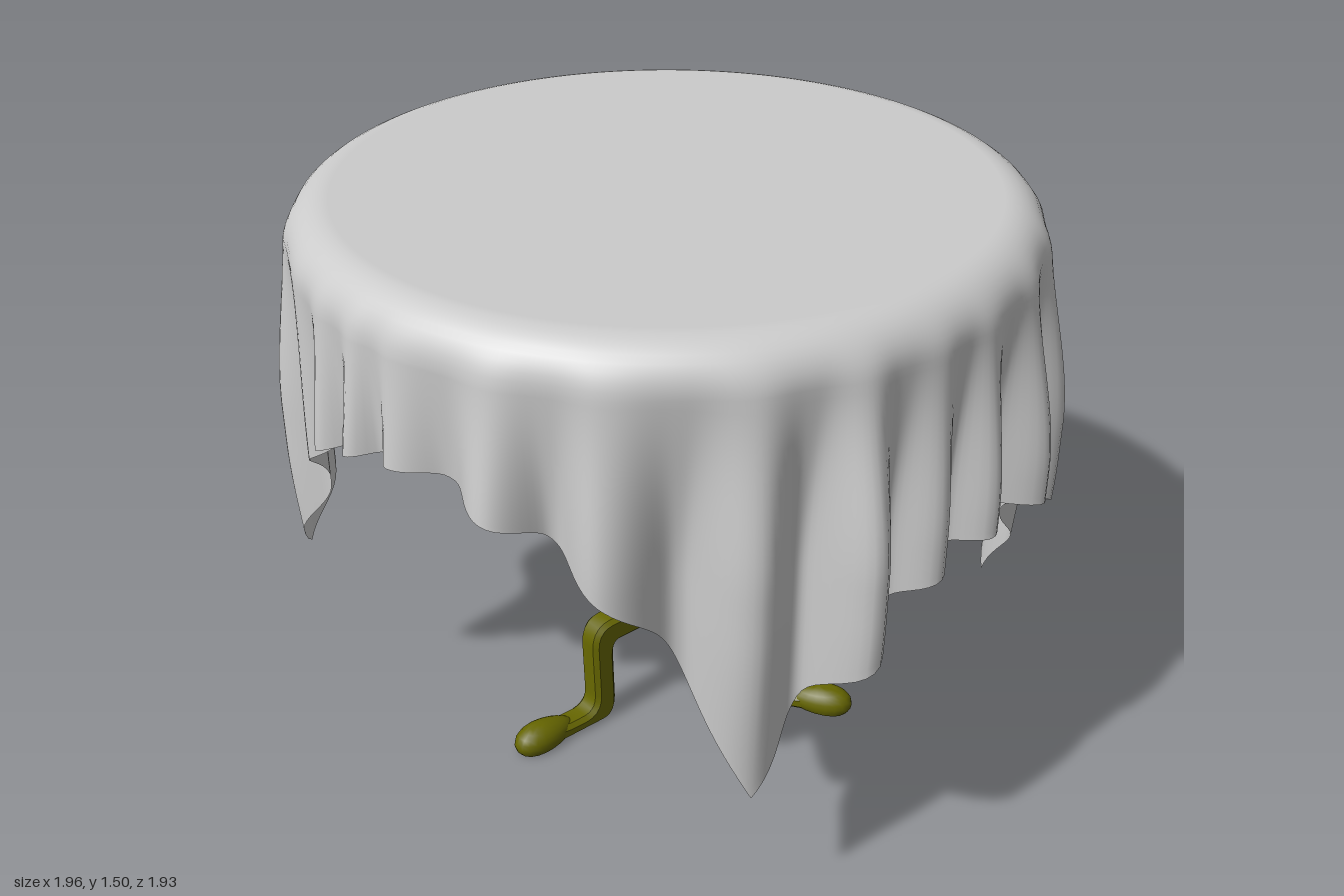
import * as THREE from 'three';
import { toCreasedNormals } from 'three/addons/utils/BufferGeometryUtils.js';

const wood = new THREE.MeshStandardMaterial({ color: 0x666600 });
const fabric = new THREE.MeshStandardMaterial({ color: 0xcccccc, side: THREE.DoubleSide });
const { cos, sin, PI } = Math;
const rad = THREE.MathUtils.degToRad;
const smooth = THREE.MathUtils.smoothstep;

// Outward folds: angle (degrees, from +x towards +z) and crest radius
const folds = [[5.5, 0.955], [18, 1.01], [33, 0.98], [53, 0.97], [68, 0.98], [84, 0.955], [92, 0.97],
  [101, 0.96], [111, 0.93], [127.5, 0.97], [143.5, 0.965], [161.5, 0.98], [180, 0.995], [193, 0.96],
  [205, 0.95], [219.5, 0.99], [235.5, 0.965], [250.5, 0.965], [264.5, 0.955], [275, 0.965],
  [286.5, 1.01], [302, 0.99], [314, 0.955], [327, 1], [341, 1], [355, 0.97]];

// Cloth corners: angle, distance along the fabric, and hollow of the hem that follows
const corners = [[33, 1.988, 0.04], [128.8, 1.848, 0], [219.6, 2.018, 0.02], [309, 2.058, 0.02]];

// Distance from the centre to the hem, on the straight line between two corners
function clothReach(deg) {
  const d = deg < corners[0][0] ? deg + 360 : deg;
  const i = corners.findLastIndex((c) => c[0] <= d);
  const [a, ra, hollow] = corners[i];
  const [next, rb] = corners[(i + 1) % 4];
  const b = i === 3 ? next + 360 : next;
  const line = ra * rb * sin(rad(b - a)) / (ra * sin(rad(d - a)) + rb * sin(rad(b - d)));
  return line * (1 - hollow * sin(PI * (d - a) / (b - a)));
}

// How far a direction sits on a fold crest (1) or in a trough (0)
function foldAt(deg) {
  const n = folds.length;
  const i = folds.findIndex((f) => f[0] > deg);
  const to = i < 0 ? [folds[0][0] + 360, folds[0][1]] : folds[i];
  const from = i < 0 ? folds[n - 1] : i > 0 ? folds[i - 1] : [folds[n - 1][0] - 360, folds[n - 1][1]];
  const gap = to[0] - from[0], u = (deg - from[0]) / gap;
  return {
    gap, radius: u < 0.5 ? from[1] : to[1],
    crest: ((1 + cos(2 * PI * u)) / 2) ** 1.3, swing: sin(2 * PI * u),
  };
}

// Table edge: flat radius, bend radius, and fabric distance where the hang starts
const flat = 0.8, bend = 0.11, hang = flat + bend * PI / 2;

// Point of the draped cloth at a direction and a distance along the fabric
function drape(deg, dist) {
  let angle = rad(deg), r = dist, y = 1.505;
  if (dist > flat) {
    const a = Math.min((dist - flat) / bend, PI / 2);
    const { crest, gap, swing, radius } = foldAt(deg);
    const drop = Math.max(dist - hang, 0);
    const open = smooth(dist - hang, -0.12, 0.45);
    const outer = (radius - flat - bend) * open - 0.035 * smooth(drop, 0.55, 1.1);
    const inner = -0.035 * Math.min(gap / 14, 1.2) * open;
    r = flat + bend * sin(a) + inner + (outer - inner) * crest;
    r += 0.005 * open * sin(5 * angle + 1);
    y = 1.505 - bend * (1 - cos(a)) - drop;
    angle += rad(gap) * 0.05 * swing * open; // rounds the crests
  }
  return [r * cos(angle), y, r * sin(angle)];
}

function makeCloth() {
  const columns = 480, edgeRows = 9, hangRows = 30;
  const pos = [], index = [];
  const rows = 2 + edgeRows + hangRows;
  for (let j = 0; j <= rows; j++) {
    for (let i = 0; i < columns; i++) {
      const deg = i * 360 / columns;
      let dist;
      if (j < 2) dist = j * 0.4;
      else if (j <= 2 + edgeRows) dist = flat + (hang - flat) * (j - 2) / edgeRows;
      else dist = hang + (clothReach(deg) - hang) * (j - 2 - edgeRows) / hangRows;
      pos.push(...drape(deg, dist));
      if (j === rows) continue;
      const a = j * columns + i, b = j * columns + (i + 1) % columns;
      if (j > 0) index.push(a, b, a + columns);
      index.push(b, b + columns, a + columns);
    }
  }
  const geo = new THREE.BufferGeometry();
  geo.setAttribute('position', new THREE.Float32BufferAttribute(pos, 3));
  geo.setIndex(index);
  geo.computeVertexNormals();
  return geo;
}

// Side outline of one leg: arm, bent knee, post and foot
function legGeometry() {
  const s = new THREE.Shape();
  s.moveTo(0.03, 0.26);
  s.lineTo(0.2, 0.258);
  s.quadraticCurveTo(0.222, 0.255, 0.224, 0.21);
  s.lineTo(0.22, 0.06);
  s.quadraticCurveTo(0.22, 0.012, 0.26, 0.012);
  s.lineTo(0.44, 0.012);
  s.lineTo(0.44, 0.04);
  s.lineTo(0.36, 0.03);
  s.lineTo(0.31, 0.03);
  s.quadraticCurveTo(0.264, 0.035, 0.262, 0.09);
  s.lineTo(0.267, 0.25);
  s.quadraticCurveTo(0.266, 0.306, 0.22, 0.308);
  s.lineTo(0.03, 0.31);
  const geo = new THREE.ExtrudeGeometry(s, {
    depth: 0.046, bevelSize: 0.012, bevelThickness: 0.012, bevelSegments: 1, curveSegments: 5,
  });
  geo.translate(0, 0, -0.023);
  return toCreasedNormals(geo, 0.6);
}

// Rounded foot pad, flat underneath and tapering towards the post
function padGeometry() {
  const geo = new THREE.SphereGeometry(1, 20, 12);
  const p = geo.attributes.position;
  for (let i = 0; i < p.count; i++) {
    const x = p.getX(i), rise = 0.045 + 0.01 * x;
    p.setXYZ(i, 0.43 + 0.092 * x, Math.max(0.026 + rise * p.getY(i), 0), (0.046 + 0.01 * x) * p.getZ(i));
  }
  return toCreasedNormals(geo, 0.7);
}

export function createModel() {
  const model = new THREE.Group();
  const add = (parent, name, geo, mat, y = 0) => {
    const mesh = new THREE.Mesh(geo, mat);
    mesh.name = name;
    mesh.position.y = y;
    parent.add(mesh);
  };

  add(model, 'tablecloth', makeCloth(), fabric);
  add(model, 'tableTop', new THREE.CylinderGeometry(0.85, 0.85, 0.045, 64), wood, 1.452);

  const stand = new THREE.Group();
  stand.name = 'stand';
  stand.position.x = 0.006;
  model.add(stand);

  // Turned pedestal with two collars and fine rings at its base
  const profile = [[0, 0.24], [0.045, 0.24], [0.045, 0.325], [0.052, 0.332], [0.052, 0.345],
    [0.043, 0.352], [0.05, 0.362], [0.05, 0.375], [0.042, 0.382], [0.047, 0.392], [0.047, 0.402],
    [0.044, 0.41], [0.049, 0.5], [0.062, 0.51], [0.078, 0.53], [0.078, 0.555], [0.058, 0.58],
    [0.054, 0.61], [0.071, 0.635], [0.071, 0.66], [0.057, 0.685], [0.054, 0.74], [0.04, 1.12],
    [0.038, 1.43]].map(([x, y]) => new THREE.Vector2(x, y));
  add(stand, 'pedestal', toCreasedNormals(new THREE.LatheGeometry(profile, 20), 0.5), wood);
  add(stand, 'hub', toCreasedNormals(new THREE.CylinderGeometry(0.072, 0.072, 0.09, 12), 0.6),
    wood, 0.277);

  // Three legs, each ending in a rounded pad
  const leg = legGeometry(), pad = padGeometry();
  for (const [deg, length] of [[95, 1], [211, 1.06], [331, 1.01]]) {
    const group = new THREE.Group();
    group.name = 'leg';
    group.rotation.y = -rad(deg);
    group.scale.x = length;
    add(group, 'legBracket', leg, wood);
    add(group, 'footPad', pad, wood);
    stand.add(group);
  }
  return model;
}
